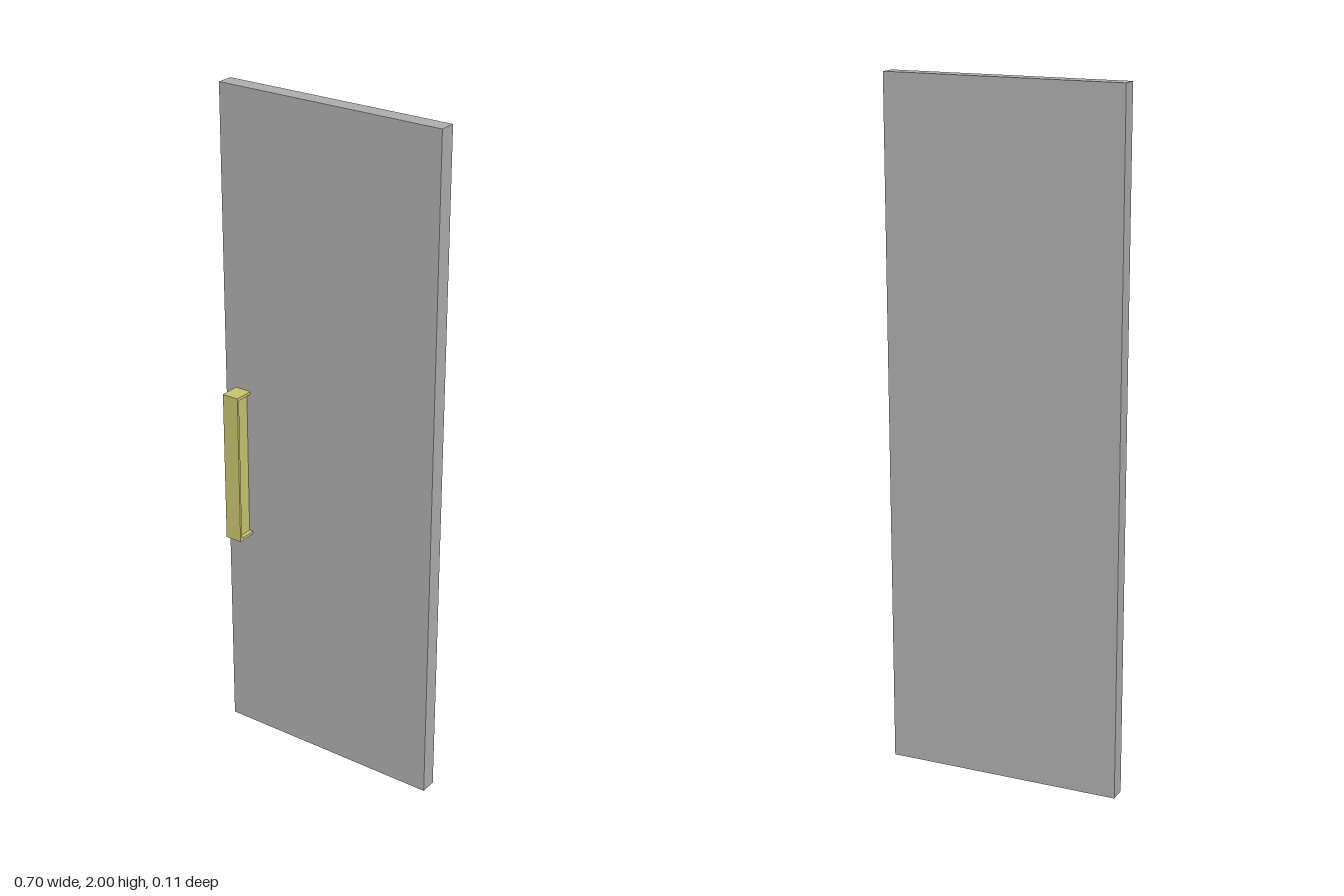
import * as THREE from 'three';

export function createModel() {
  const group = new THREE.Group();
  const doorGrey = new THREE.MeshStandardMaterial({ color: 0xadadad });
  const handleYellow = new THREE.MeshStandardMaterial({ color: 0xc8c46e });
  doorGrey.name = 'doorGrey';
  handleYellow.name = 'handleYellow';

  // Box given by its lower and upper corners
  function box(name, material, [x0, y0, z0], [x1, y1, z1], parent) {
    const mesh = new THREE.Mesh(new THREE.BoxGeometry(x1 - x0, y1 - y0, z1 - z0), material);
    mesh.position.set((x0 + x1) / 2, (y0 + y1) / 2, (z0 + z1) / 2);
    mesh.name = name;
    parent.add(mesh);
  }

  // Door slab
  const faceZ = -0.005;
  box('doorPanel', doorGrey, [-0.348, 0, -0.054], [0.348, 2, faceZ], group);

  // Pull handle: front plate, end caps and a narrower core between them
  const handle = new THREE.Group();
  handle.name = 'handle';
  group.add(handle);
  const left = -0.315, right = -0.264, bottom = 0.66, top = 1.12;
  const cap = 0.009, inset = 0.012, plateZ = 0.047;
  box('handlePlate', handleYellow, [left, bottom, plateZ], [right, top, 0.054], handle);
  box('handleTopCap', handleYellow, [left, top - cap, faceZ], [right, top, plateZ], handle);
  box('handleBottomCap', handleYellow, [left, bottom, faceZ], [right, bottom + cap, plateZ], handle);
  box('handleCore', handleYellow, [left + inset, bottom + cap, faceZ], [right - inset, top - cap, plateZ], handle);

  return group;
}
